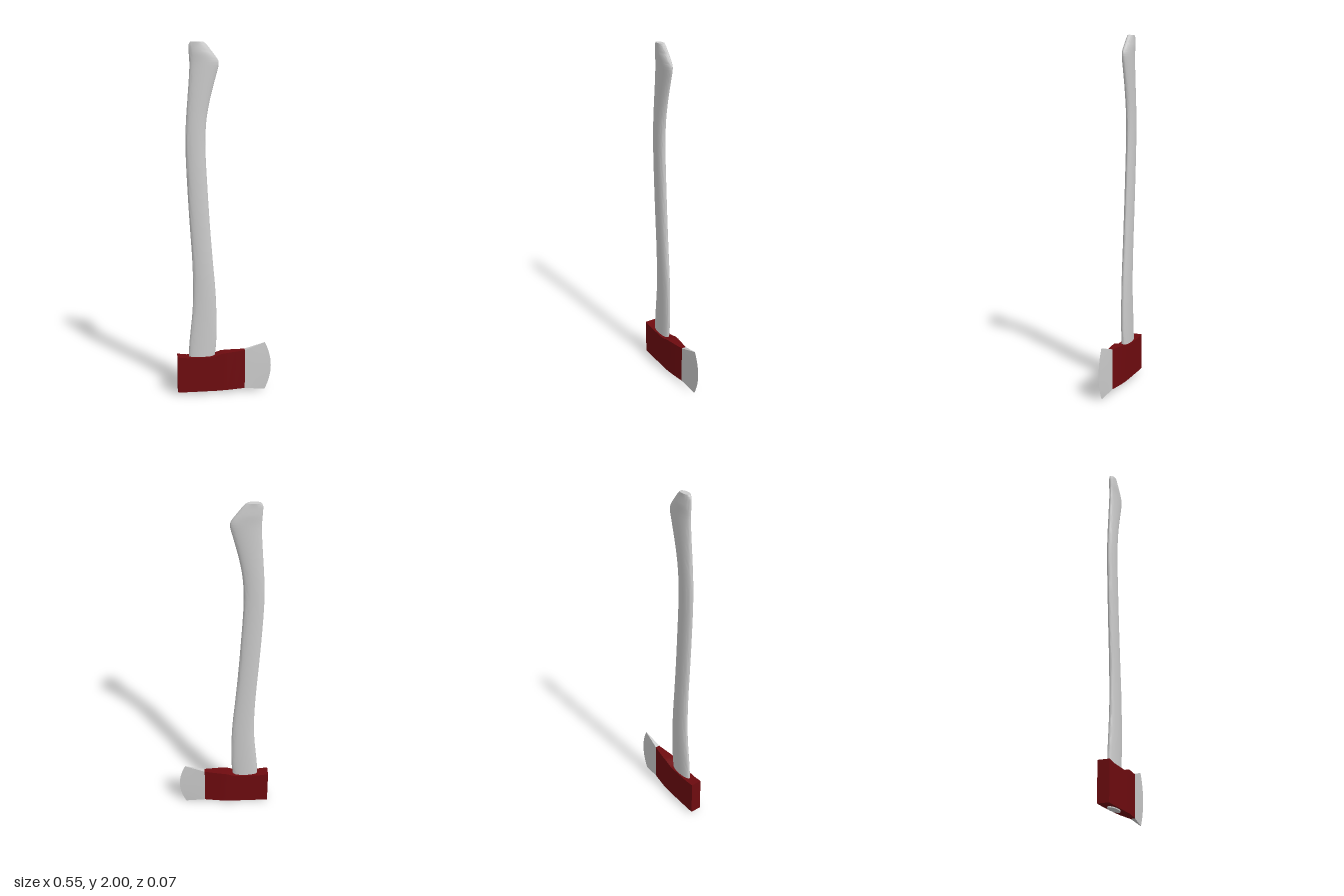
import * as THREE from 'three';
import { toCreasedNormals } from 'three/addons/utils/BufferGeometryUtils.js';

const grey = new THREE.MeshStandardMaterial({ color: 0xcccccc });
const red = new THREE.MeshStandardMaterial({ color: 0x6e0b0f });

// Skin a list of equal-length rings and close both ends with fans.
function loft(rings, crease) {
  const n = rings[0].length, pos = [], idx = [];
  rings.forEach(r => r.forEach(p => pos.push(...p)));
  for (let i = 0; i < rings.length - 1; i++) {
    for (let j = 0; j < n; j++) {
      const a = i * n + j, b = i * n + (j + 1) % n;
      idx.push(a, b, a + n, b, b + n, a + n);
    }
  }
  for (const end of [0, rings.length - 1]) {
    const centre = pos.length / 3, ring = rings[end];
    pos.push(...[0, 1, 2].map(k => ring.reduce((s, p) => s + p[k], 0) / n));
    for (let j = 0; j < n; j++) {
      const a = end * n + j, b = end * n + (j + 1) % n;
      if (end) idx.push(centre, a, b);
      else idx.push(centre, b, a);
    }
  }
  const g = new THREE.BufferGeometry();
  g.setAttribute('position', new THREE.Float32BufferAttribute(pos, 3));
  g.setIndex(idx);
  return toCreasedNormals(g, crease);
}

function add(group, name, geometry, material) {
  const mesh = new THREE.Mesh(geometry, material);
  mesh.name = name;
  group.add(mesh);
}

// Curved handle: oval sections between a back edge and a front edge.
function handleGeometry() {
  const stations = [ // back x, y, front x
    [-0.205, 0.015, -0.07], [-0.21, 0.2, -0.06], [-0.205, 0.3, -0.05],
    [-0.195, 0.4, -0.047], [-0.185, 0.5, -0.048], [-0.18, 0.62, -0.053],
    [-0.184, 0.8, -0.068], [-0.196, 1.0, -0.083], [-0.207, 1.2, -0.095],
    [-0.215, 1.4, -0.105], [-0.215, 1.5, -0.105], [-0.21, 1.6, -0.097],
    [-0.202, 1.7, -0.078], [-0.194, 1.8, -0.052], [-0.19, 1.87, -0.033],
    [-0.19, 1.89, -0.031], [-0.191, 1.91, -0.038], [-0.193, 1.95, -0.068],
    [-0.193, 1.985, -0.096], [-0.185, 2.0, -0.113],
  ];
  const curve = new THREE.CatmullRomCurve3(stations.map(s => new THREE.Vector3(...s)));
  const rings = [];
  for (let i = 0; i <= 76; i++) {
    const p = curve.getPoint(i / 76);
    const mid = (p.x + p.z) / 2, half = (p.z - p.x) / 2;
    const zMid = -0.0065 * p.y;
    const depth = 0.0225 - 0.005 * THREE.MathUtils.smoothstep(p.y, 1.93, 2.0);
    const ring = [];
    for (let j = 0; j < 32; j++) {
      const a = j / 32 * Math.PI * 2;
      ring.push([mid + half * Math.cos(a), p.y, zMid - depth * Math.sin(a)]);
    }
    rings.push(ring);
  }
  return loft(rings, 0.7);
}

// Painted head: rectangular sections from the poll to the blade.
function headGeometry() {
  const sections = [ // x, bottom, top, half thickness
    [-0.274, 0.022, 0.236, 0.032], [-0.22, 0.021, 0.229, 0.032],
    [-0.075, 0.021, 0.229, 0.032], [-0.05, 0.021, 0.235, 0.032],
    [-0.02, 0.022, 0.246, 0.0315], [0.01, 0.022, 0.249, 0.029],
    [0.06, 0.022, 0.252, 0.022], [0.117, 0.022, 0.256, 0.013],
  ];
  return loft(sections.map(([x, b, t, h]) =>
    [[x, b, -h], [x, t, -h], [x, t, h], [x, b, h]]), 0.5);
}

// Bare blade: flares out and thins to a curved cutting edge.
function bladeGeometry() {
  const rows = 14, rings = [], lerp = THREE.MathUtils.lerp;
  for (let i = 0; i <= 8; i++) {
    const u = i / 8, h = lerp(0.013, 0.0006, u), ring = [];
    const point = (k, z) => {
      const v = k / rows, s = 2 * v - 1;
      const edgeX = 0.236 + 0.037 * (1 - s * s);
      const y = lerp(lerp(0.022, 0.005, u), lerp(0.256, 0.295, u), v);
      return [lerp(0.117, edgeX, u), y, z];
    };
    for (let k = 0; k <= rows; k++) ring.push(point(k, -h));
    for (let k = rows; k >= 0; k--) ring.push(point(k, h));
    rings.push(ring);
  }
  return loft(rings, 0.5);
}

export function createModel() {
  const axe = new THREE.Group();
  axe.name = 'axe';
  add(axe, 'handle', handleGeometry(), grey);
  add(axe, 'head', headGeometry(), red);
  add(axe, 'blade', bladeGeometry(), grey);
  return axe;
}
